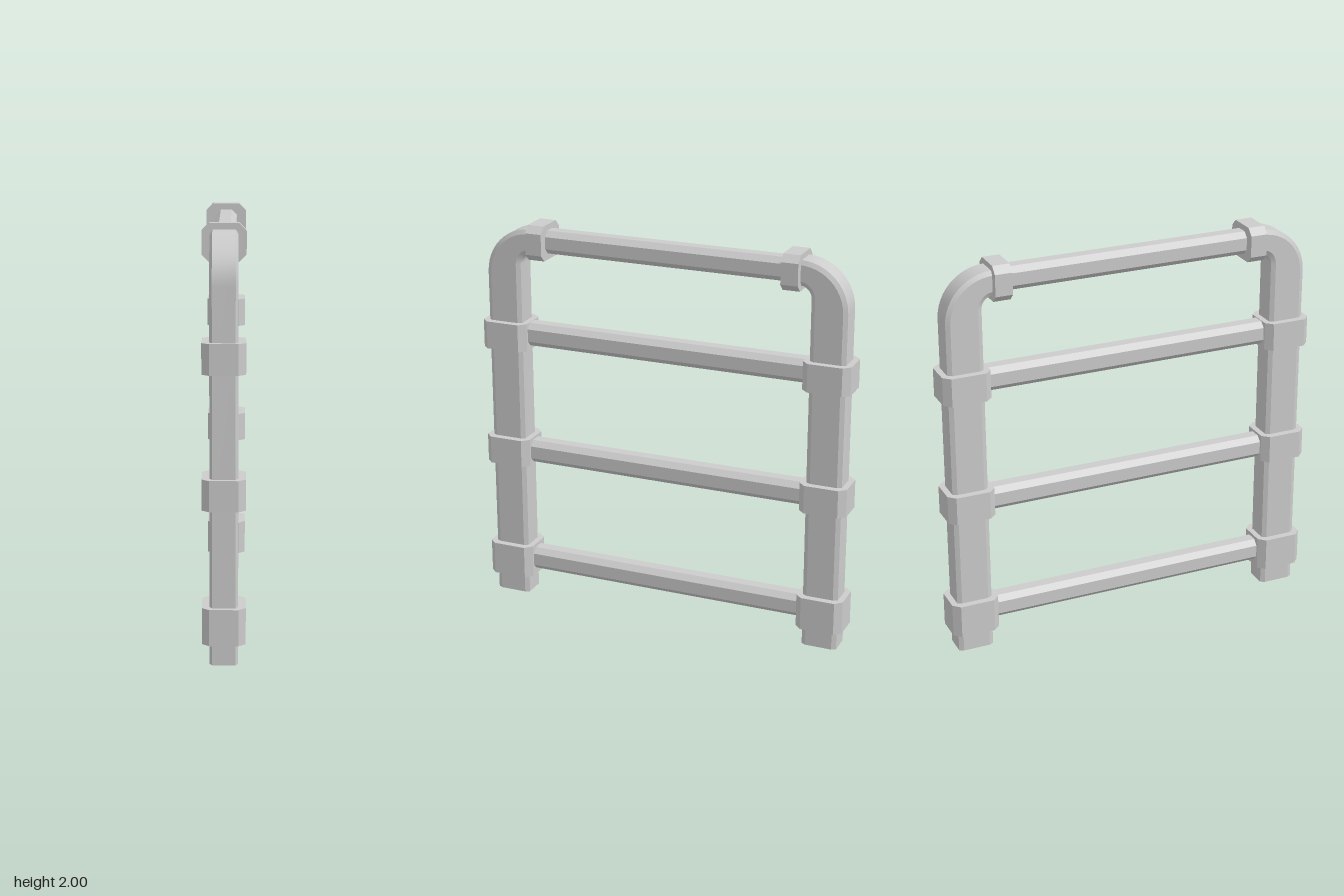
import * as THREE from 'three';
import { toCreasedNormals } from 'three/addons/utils/BufferGeometryUtils.js';

const material = new THREE.MeshStandardMaterial({ color: 0xcccccc });

// Corners of a chamfered rectangle, counter-clockwise
function chamferedRect(halfA, halfB, cutA, cutB = cutA) {
  const a = halfA - cutA, b = halfB - cutB;
  return [
    [halfA, -b], [halfA, b], [a, halfB], [-a, halfB],
    [-halfA, b], [-halfA, -b], [-a, -halfB], [a, -halfB],
  ];
}

// Chamfered bar centred on the origin, running along z
function bar(halfW, halfH, cut, length) {
  const shape = new THREE.Shape(chamferedRect(halfW, halfH, cut).map(([x, y]) => new THREE.Vector2(x, y)));
  return new THREE.ExtrudeGeometry(shape, { depth: length, bevelEnabled: false }).translate(0, 0, -length / 2);
}

// Post that bends inward at the top and narrows through the bend
function bentPost() {
  const spans = [{ outer: [0.937, 0], inner: [0.757, 0] }]; // [z, y] pairs
  const steps = 12;
  for (let i = 0; i <= steps; i++) {
    const t = (i / steps) * Math.PI / 2, c = Math.cos(t), s = Math.sin(t);
    spans.push({
      outer: [0.70 + 0.237 * c, 1.735 + 0.238 * s],
      inner: [0.70 + 0.057 * c, 1.79 + 0.06 * s],
    });
  }
  spans.push({ outer: [0.64, 1.973], inner: [0.64, 1.85] });

  const positions = [], index = [], n = 8;
  for (const { outer, inner } of spans) {
    const dz = (outer[0] - inner[0]) / 2, dy = (outer[1] - inner[1]) / 2;
    const half = Math.hypot(dz, dy);
    for (const [u, x] of chamferedRect(half, 0.065, 0.022, 0.012)) {
      positions.push(x, (outer[1] + inner[1]) / 2 + dy * u / half, (outer[0] + inner[0]) / 2 + dz * u / half);
    }
  }
  const last = (spans.length - 1) * n;
  for (let r = 0; r < last; r += n) {
    for (let j = 0; j < n; j++) {
      const k = (j + 1) % n;
      index.push(r + j, r + k, r + n + k, r + j, r + n + k, r + n + j);
    }
  }
  // End caps
  for (let j = 1; j < n - 1; j++) index.push(0, j + 1, j, last, last + j, last + j + 1);

  const geometry = new THREE.BufferGeometry();
  geometry.setAttribute('position', new THREE.Float32BufferAttribute(positions, 3));
  geometry.setIndex(index);
  return toCreasedNormals(geometry, Math.PI / 7);
}

export function createModel() {
  const model = new THREE.Group();
  const add = (parent, name, geometry, y = 0, z = 0) => {
    const mesh = new THREE.Mesh(geometry, material);
    mesh.name = name;
    mesh.position.set(0, y, z);
    parent.add(mesh);
  };
  // Bottom and top of each post clamp, and the height of its rail
  const levels = [[0.10, 0.27, 0.193], [0.725, 0.868, 0.796], [1.345, 1.487, 1.425]];

  // Two identical sides facing each other
  for (const [name, turn] of [['frontSide', 0], ['backSide', Math.PI]]) {
    const side = new THREE.Group();
    side.name = name;
    side.rotation.y = turn;
    add(side, 'bentPost', bentPost());
    for (const [low, high] of levels) {
      const clamp = bar(0.1, 0.12, 0.034, high - low).rotateX(-Math.PI / 2);
      add(side, 'postClamp', clamp, (low + high) / 2, 0.847);
    }
    add(side, 'topCollar', bar(0.102, 0.088, 0.034, 0.086), 1.912, 0.661);
    model.add(side);
  }

  // Octagonal cross rails, ending inside the clamps and collars
  for (const [, , y] of levels) add(model, 'crossRail', bar(0.055, 0.059, 0.027, 1.6), y);
  add(model, 'topRail', bar(0.055, 0.058, 0.027, 1.3), 1.913);

  return model;
}
